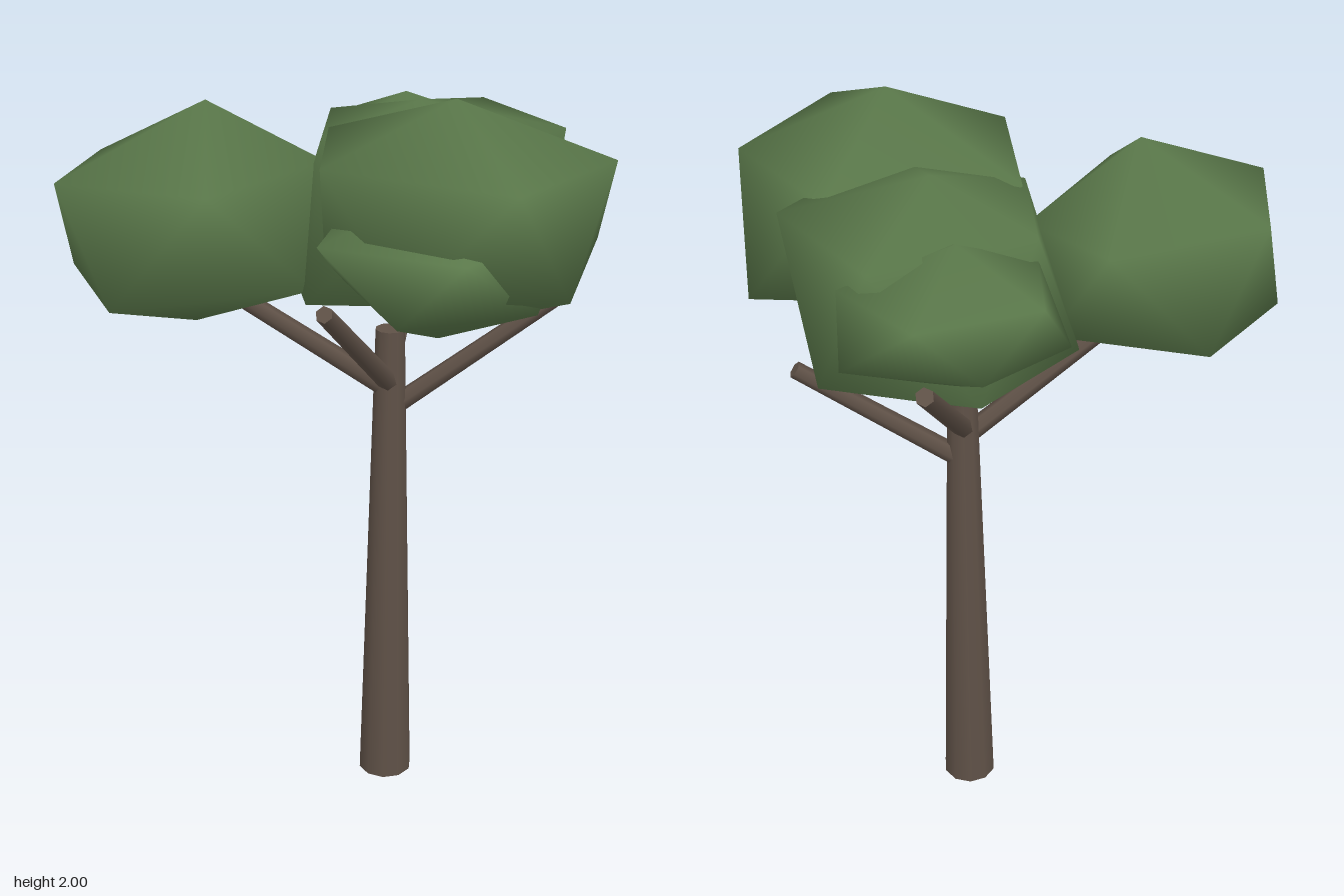
import * as THREE from 'three';

const mat = (name, color) => Object.assign(new THREE.MeshStandardMaterial({ color }), { name });

// Leaf clump: a lumpy twenty-sided ball. The (x, z) outline alternates between
// corners of the upper ring and corners of the lower ring, capped by two points.
function clumpGeometry({ outline, top, bottom, hi, lo }) {
  const n = outline.length, pos = [], index = [];
  outline.forEach(([x, z], i) => pos.push(x, i % 2 ? lo : hi, z));
  pos.push(...top, ...bottom);
  for (let i = 0; i < n; i += 2) {
    const lower = i + 1, nextUpper = (i + 2) % n, nextLower = (i + 3) % n;
    index.push(
      n, nextUpper, i,
      i, nextUpper, lower,
      nextUpper, nextLower, lower,
      n + 1, lower, nextLower);
  }
  const g = new THREE.BufferGeometry();
  g.setAttribute('position', new THREE.Float32BufferAttribute(pos, 3));
  g.setIndex(index);
  g.computeVertexNormals();
  return g;
}

// Tapered limb between two points
function limb(name, from, to, r0, r1, sides, material) {
  const a = new THREE.Vector3(...from), b = new THREE.Vector3(...to);
  const dir = b.clone().sub(a);
  const mesh = new THREE.Mesh(new THREE.CylinderGeometry(r1, r0, dir.length(), sides), material);
  mesh.position.copy(a).add(b).multiplyScalar(0.5);
  mesh.quaternion.setFromUnitVectors(new THREE.Vector3(0, 1, 0), dir.normalize());
  mesh.name = name;
  return mesh;
}

export function createModel() {
  const tree = new THREE.Group();
  tree.name = 'tree';
  const bark = mat('bark brown', 0x5f5147);
  const leaf = mat('leaf green', 0x5a784a);

  // Trunk and branches
  tree.add(limb('trunk', [0.135, 0, -0.015], [0.135, 1.33, -0.015], 0.074, 0.039, 10, bark));
  const branches = {
    leftBranch: [[0.13, 1.1, -0.02], [0.55, 1.41, -0.05]],
    rightBranch: [[0.14, 1.16, -0.01], [-0.36, 1.52, 0.1]],
    frontBranch: [[0.14, 1.17, -0.02], [0.01, 1.52, 0.43]],
    backBranch: [[0.13, 1.19, -0.01], [0.23, 1.66, -0.59]],
  };
  for (const [name, [from, to]] of Object.entries(branches))
    tree.add(limb(name, from, to, 0.027, 0.022, 6, bark));

  // Foliage clumps
  const clumps = {
    rightFoliage: {
      outline: [[-0.03, 0], [-0.04, 0.2], [-0.27, 0.37], [-0.5, 0.41], [-0.65, 0.27],
        [-0.67, 0.05], [-0.61, -0.06], [-0.46, -0.2], [-0.21, -0.2], [-0.08, -0.08]],
      top: [-0.31, 1.94, 0.1], bottom: [-0.34, 1.395, 0.15], hi: 1.77, lo: 1.5,
    },
    frontFoliage: {
      outline: [[0.67, 0.27], [0.57, 0.5], [0.45, 0.605], [0.2, 0.55], [0, 0.42],
        [-0.01, 0.22], [-0.02, 0.02], [0.2, -0.06], [0.45, -0.06], [0.65, -0.01]],
      top: [0.3, 2, 0.3], bottom: [0.3, 1.45, 0.28], hi: 1.86, lo: 1.59,
    },
    lowerFrontFoliage: {
      outline: [[0.57, 0.3], [0.5, 0.47], [0.34, 0.605], [0.19, 0.605], [0, 0.49],
        [0.02, 0.22], [0.05, 0.1], [0.22, 0.03], [0.4, 0.05], [0.53, 0.2]],
      top: [0.27, 1.8, 0.32], bottom: [0.27, 1.42, 0.29], hi: 1.7, lo: 1.55,
    },
    middleFoliage: {
      outline: [[0.56, -0.07], [0.5, 0.2], [0.3, 0.25], [-0.05, 0.28], [-0.03, 0.08],
        [-0.15, -0.13], [-0.04, -0.23], [0.1, -0.38], [0.35, -0.39], [0.48, -0.27]],
      top: [0.2, 1.92, -0.04], bottom: [0.22, 1.35, -0.13], hi: 1.85, lo: 1.49,
    },
    backFoliage: {
      outline: [[0.42, -0.34], [0.36, -0.22], [0.18, -0.14], [0.05, -0.15], [-0.04, -0.22],
        [-0.11, -0.35], [-0.04, -0.46], [0.1, -0.51], [0.25, -0.55], [0.42, -0.43]],
      top: [0.15, 1.88, -0.31], bottom: [0.17, 1.53, -0.34], hi: 1.79, lo: 1.63,
    },
  };
  for (const [name, spec] of Object.entries(clumps)) {
    const mesh = new THREE.Mesh(clumpGeometry(spec), leaf);
    mesh.name = name;
    tree.add(mesh);
  }
  return tree;
}
